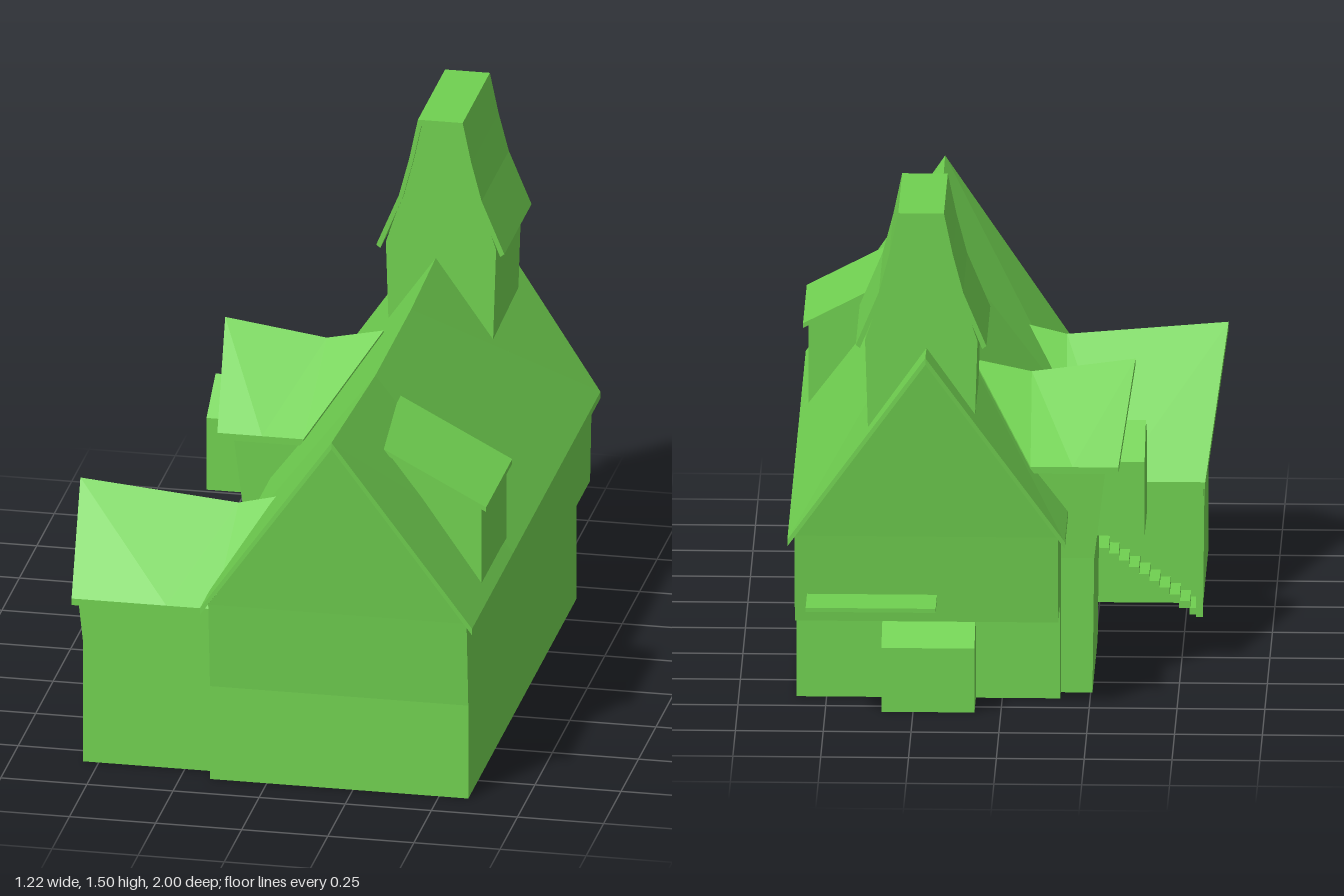
import * as THREE from 'three';

const material = new THREE.MeshStandardMaterial({ color: 0x70d050, flatShading: true, side: THREE.DoubleSide });

function addMesh(parent, name, geometry) {
  const mesh = new THREE.Mesh(geometry, material);
  mesh.name = name;
  parent.add(mesh);
  return mesh;
}

// Flat convex polygons, each split into a fan of triangles
function sheet(polys) {
  const pos = [];
  for (const p of polys)
    for (let i = 1; i < p.length - 1; i++) pos.push(...p[0], ...p[i], ...p[i + 1]);
  const g = new THREE.BufferGeometry();
  g.setAttribute('position', new THREE.Float32BufferAttribute(pos, 3));
  g.computeVertexNormals();
  return g;
}

// Four walls through rectangles [y, x0, x1, zBack, zFront], open below and above
function wallPolys(rings) {
  const loops = rings.map(([y, x0, x1, zb, zf]) => [[x0, y, zf], [x1, y, zf], [x1, y, zb], [x0, y, zb]]);
  const polys = [];
  for (let i = 0; i < loops.length - 1; i++)
    for (let k = 0; k < 4; k++) {
      const n = (k + 1) % 4;
      polys.push([loops[i][k], loops[i][n], loops[i + 1][n], loops[i + 1][k]]);
    }
  return polys;
}

// Sloping roof panel with thickness, between a ridge line and an eave line
function roofSlab(ridge, eave, t = 0.02) {
  const low = line => line.map(([x, y, z]) => [x, y - t, z]);
  const r2 = low(ridge), e2 = low(eave), last = ridge.length - 1, polys = [];
  for (let i = 0; i < last; i++) {
    const j = i + 1;
    polys.push([ridge[i], eave[i], eave[j], ridge[j]]);
    polys.push([r2[j], e2[j], e2[i], r2[i]]);
    polys.push([eave[i], e2[i], e2[j], eave[j]]);
  }
  polys.push([ridge[0], r2[0], e2[0], eave[0]], [ridge[last], eave[last], e2[last], r2[last]]);
  return sheet(polys);
}

function box(parent, name, x0, x1, y0, y1, z0, z1) {
  const m = addMesh(parent, name, new THREE.BoxGeometry(x1 - x0, y1 - y0, z1 - z0));
  m.position.set((x0 + x1) / 2, (y0 + y1) / 2, (z0 + z1) / 2);
}

function extrudeZ(points, z0, z1) {
  const shape = new THREE.Shape(points.map(p => new THREE.Vector2(...p)));
  return new THREE.ExtrudeGeometry(shape, { depth: z1 - z0, bevelEnabled: false }).translate(0, 0, z0);
}

function mainHouse() {
  const g = new THREE.Group();
  g.name = 'mainHouse';
  const x0 = -0.165, x1 = 0.585;
  // walls with the upper floor overhanging at the back, and leaning gables
  const polys = wallPolys([
    [0, x0, x1, -0.66, 0.89], [0.285, x0, x1, -0.66, 0.89],
    [0.285, x0, x1, -0.855, 0.89], [0.545, x0, x1, -0.88, 0.915],
  ]);
  polys.push([[x0, 0.545, 0.915], [x1, 0.545, 0.915], [0.21, 1.09, 0.98]]);
  polys.push([[x1, 0.545, -0.88], [x0, 0.545, -0.88], [0.21, 1.09, -0.95]]);
  addMesh(g, 'mainWalls', sheet(polys));
  // sagging ridge
  const ridge = [[0.21, 1.105, 1], [0.21, 1.063, 0.37], [0.21, 1.063, -0.14], [0.21, 1.105, -0.975]];
  const eaveZ = [0.935, 0.345, -0.13, -0.905];
  for (const s of [-1, 1])
    addMesh(g, s > 0 ? 'leftMainRoof' : 'rightMainRoof',
      roofSlab(ridge, eaveZ.map(z => [0.21 + s * 0.395, 0.54, z])));
  return g;
}

function bellTower() {
  const g = new THREE.Group();
  g.name = 'tower';
  const cx = 0.225;
  const mirror = half => [...half.map(([x, y]) => [cx - x, y]), ...half.slice().reverse().map(([x, y]) => [cx + x, y])];
  addMesh(g, 'towerWalls', extrudeZ(
    mirror([[0.15, 0.8], [0.16, 1.12], [0.112, 1.265], [0.082, 1.38], [0.06, 1.49]]), -0.855, -0.495));
  // flared roof shell
  const outer = mirror([[0.186, 1.112], [0.12, 1.27], [0.09, 1.385], [0.065, 1.505]]);
  const inner = mirror([[0.174, 1.103], [0.108, 1.265], [0.078, 1.38], [0.055, 1.487]]);
  addMesh(g, 'towerRoof', extrudeZ([...outer, ...inner.reverse()], -0.875, -0.485));
  return g;
}

function shedDormer() {
  const g = new THREE.Group();
  g.name = 'shedDormer';
  addMesh(g, 'dormerWalls', extrudeZ([[0.58, 0.56], [0.58, 0.808], [0.29, 0.965]], 0.32, 0.675));
  addMesh(g, 'dormerRoof', roofSlab(
    [[0.265, 0.985, 0.31], [0.265, 0.985, 0.685]], [[0.595, 0.813, 0.31], [0.595, 0.813, 0.685]], 0.014));
  return g;
}

function porchWing() {
  const g = new THREE.Group();
  g.name = 'porchWing';
  const xi = -0.165;
  addMesh(g, 'porchWingWalls', sheet([
    [[-0.545, 0, 0.83], [xi, 0, 0.83], [xi, 0.36, 0.83], [-0.545, 0.36, 0.83]],
    [[-0.545, 0.36, 0.83], [xi, 0.36, 0.83], [xi, 0.5, 0.83], [-0.56, 0.5, 0.83]],
    [[xi, 0, 0.28], [-0.545, 0, 0.28], [-0.55, 0.48, 0.28], [xi, 0.48, 0.28]],
    [[-0.545, 0, 0.28], [-0.545, 0, 0.83], [-0.545, 0.36, 0.83], [-0.545, 0.36, 0.28]],
    // gable end, carried over the porch
    [[-0.59, 0.74, 0.55], [-0.547, 0.385, 0.15], [-0.545, 0.36, 0.15], [-0.545, 0.36, 0.83], [-0.56, 0.5, 0.83]],
  ]));
  // the rear slope runs lower to cover the porch
  const ridge = [[-0.61, 0.755, 0.55], [-0.15, 0.715, 0.55], [-0.03, 0.745, 0.55]];
  addMesh(g, 'porchWingFrontRoof', roofSlab(ridge, [-0.575, -0.3, -0.16].map(x => [x, 0.505, 0.85])));
  addMesh(g, 'porchWingRearRoof', roofSlab(ridge, [-0.555, -0.3, -0.16].map(x => [x, 0.405, 0.13])));
  box(g, 'porchBeam', -0.55, xi, 0.355, 0.385, 0.145, 0.165);
  for (const x of [-0.548, -0.187]) box(g, 'porchPost', x, x + 0.02, 0, 0.37, 0.145, 0.165);
  box(g, 'porchLanding', -0.28, xi, 0.18, 0.2, 0.155, 0.28);
  // open stair treads climbing to the landing
  const steps = 9;
  for (let i = 0; i < steps; i++) {
    const x = -0.54 + i * 0.029, y = 0.02 * (i + 1);
    box(g, 'stairStep', x, x + 0.031, y - 0.02, y, 0.165, 0.275);
  }
  return g;
}

function tallWing() {
  const g = new THREE.Group();
  g.name = 'tallWing';
  const zc = -0.34;
  const polys = wallPolys([[0, -0.255, -0.165, -0.6, -0.08], [0.4, -0.26, -0.165, -0.6, -0.08], [0.69, -0.295, -0.06, -0.61, -0.07]]);
  polys.push([[-0.295, 0.69, -0.61], [-0.295, 0.69, -0.07], [-0.345, 0.895, zc]]);
  addMesh(g, 'tallWingWalls', sheet(polys));
  const ridge = [[-0.37, 0.915, zc], [-0.075, 0.875, zc], [0.09, 0.91, zc]];
  for (const s of [-1, 1])
    addMesh(g, 'tallWingRoof', roofSlab(ridge, [-0.33, -0.2, -0.08].map(x => [x, 0.685, zc + s * 0.31])));
  // small gabled bay window
  const bay = extrudeZ([[-0.13, 0.43], [0.13, 0.43], [0.13, 0.65], [0, 0.735], [-0.13, 0.65]], 0, 0.16);
  const mesh = addMesh(g, 'bayWindow', bay);
  mesh.rotation.y = -Math.PI / 2;
  mesh.position.set(-0.24, 0, -0.35);
  return g;
}

function rearParts() {
  const g = new THREE.Group();
  g.name = 'rearParts';
  box(g, 'awning', 0.18, 0.55, 0.355, 0.367, -1, -0.855);
  // lean-to shed, open below
  const a = 0.075, b = 0.34, zi = -0.66, zo = -0.805;
  addMesh(g, 'leanToShed', sheet([
    [[b, 0, zo], [a, 0, zo], [a, 0.19, zo], [b, 0.19, zo]],
    [[a, 0, zo], [a, 0, zi], [a, 0.27, zi], [a, 0.19, zo]],
    [[b, 0, zi], [b, 0, zo], [b, 0.19, zo], [b, 0.27, zi]],
    [[a, 0.19, zo], [a, 0.27, zi], [b, 0.27, zi], [b, 0.19, zo]],
  ]));
  return g;
}

export function createModel() {
  const model = new THREE.Group();
  model.name = 'house';
  model.add(mainHouse(), bellTower(), shedDormer(), porchWing(), tallWing(), rearParts());
  return model;
}
